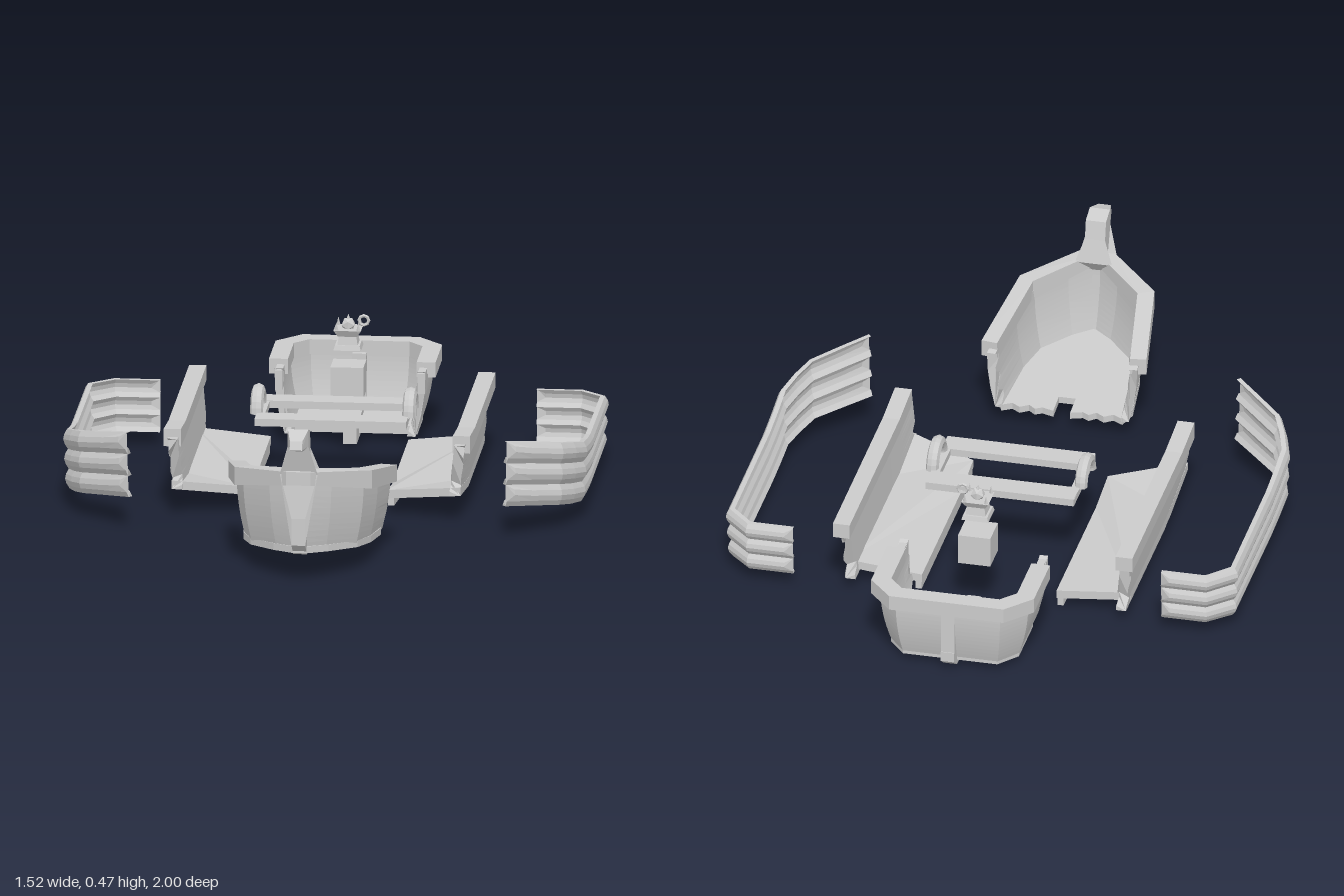
import * as THREE from 'three';

const mat = new THREE.MeshStandardMaterial({ color: 0xcccccc, flatShading: true, side: THREE.DoubleSide });

function add(parent, name, geo, x = 0, y = 0, z = 0) {
  const m = new THREE.Mesh(geo, mat);
  m.name = name;
  m.position.set(x, y, z);
  parent.add(m);
  return m;
}

const box = (w, h, d) => new THREE.BoxGeometry(w, h, d);

// Profiles are [outward offset, 0..1 height]
const rect = (a, b) => [[a, 0], [b, 0], [b, 1], [a, 1]];
function wall(outer, thick, n) {
  const out = Array.from({ length: n + 1 }, (_, k) => [outer(k / n), k / n]);
  return [...out, ...out.map(([o, v]) => [o - thick, v]).reverse()];
}

// Sweeps a profile along a path of [x, z, bottom, top], with splintered ends if jag > 0
function sweep(path, profile, jag = 0) {
  const P = path.map(p => new THREE.Vector2(p[0], p[1]));
  const last = P.length - 1;
  const dir = i => P[i + 1].clone().sub(P[i]).normalize();
  const rings = path.map(([x, z, y0, y1], i) => {
    const a = dir(Math.max(i - 1, 0)), b = dir(Math.min(i, last - 1));
    const t = a.clone().add(b).normalize();
    const miter = 1 / t.dot(b);
    return profile.map(([o, v]) => {
      const end = i === 0 ? -1 : i === last ? 1 : 0;
      const s = end * jag * (Math.round(v * 12) % 4 < 2 ? 1 : -1);
      return [x - t.y * o * miter + t.x * s, y0 + (y1 - y0) * v, z + t.x * o * miter + t.y * s];
    });
  });
  const pos = [], n = profile.length;
  const tri = (a, b, c) => pos.push(...a, ...b, ...c);
  for (let i = 0; i < last; i++) for (let j = 0; j < n; j++) {
    const k = (j + 1) % n, R = rings[i], S = rings[i + 1];
    tri(R[j], S[j], R[k]);
    tri(R[k], S[j], S[k]);
  }
  const caps = THREE.ShapeUtils.triangulateShape(profile.map(p => new THREE.Vector2(...p)), []);
  for (const [a, b, c] of caps) {
    tri(rings[0][a], rings[0][b], rings[0][c]);
    tri(rings[last][a], rings[last][c], rings[last][b]);
  }
  const g = new THREE.BufferGeometry();
  g.setAttribute('position', new THREE.Float32BufferAttribute(pos, 3));
  g.computeVertexNormals();
  return g;
}

// Horizontal slab from an [x, z] outline, its top raised by a rule
function slab(outline, thick, rule) {
  const g = new THREE.ExtrudeGeometry(new THREE.Shape(outline.map(p => new THREE.Vector2(...p))), { depth: thick, bevelEnabled: false });
  g.rotateX(Math.PI / 2);
  const p = g.attributes.position;
  for (let i = 0; i < p.count; i++) p.setY(i, p.getY(i) + rule(p.getX(i), p.getZ(i)));
  g.computeVertexNormals();
  return g;
}

// Continues a half path or outline onto the other side
const flip = pts => pts.map(([x, ...r]) => [-x, ...r]).reverse();
const both = pts => [...pts, ...flip(pts)];

function bow() {
  const g = new THREE.Group();
  g.name = 'bow';
  add(g, 'bowHull', sweep(both([[-0.222, 0.47, 0.05, 0.225], [-0.205, 0.65, 0.07, 0.255],
    [-0.175, 0.765, 0.085, 0.28], [-0.09, 0.86, 0.1, 0.3], [-0.02, 0.91, 0.1, 0.32]]),
    wall(v => -0.025 * (1 - v) ** 2, 0.025, 12), 0.015));
  add(g, 'bowRail', sweep(both([[-0.245, 0.48, 0.2, 0.25], [-0.2, 0.77, 0.255, 0.31], [-0.035, 0.925, 0.3, 0.34]]), rect(-0.048, 0)));
  // Floor with a broken edge and a slot for the keel
  const edge = [[-0.025, 0.52], [-0.025, 0.45], [-0.06, 0.46], [-0.08, 0.45], [-0.1, 0.465], [-0.125, 0.45],
    [-0.15, 0.465], [-0.18, 0.45], [-0.2, 0.5], [-0.185, 0.65], [-0.155, 0.75], [-0.08, 0.84], [-0.02, 0.89]];
  add(g, 'bowFloor', slab(both(edge), 0.02, (x, z) => 0.06 + 0.11 * (z - 0.45)));
  // Stem rising into a curved figurehead
  const stem = [[0.87, 0.08], [0.925, 0.12], [0.925, 0.2], [0.91, 0.33], [0.935, 0.42], [0.97, 0.415], [1, 0.425],
    [0.99, 0.45], [0.93, 0.47], [0.88, 0.455], [0.868, 0.4], [0.85, 0.33], [0.885, 0.29]];
  const s = new THREE.ExtrudeGeometry(new THREE.Shape(stem.map(p => new THREE.Vector2(...p))), { depth: 2, bevelEnabled: false });
  s.translate(0, 0, -1).rotateY(-Math.PI / 2);
  const p = s.attributes.position;
  for (let i = 0; i < p.count; i++) {
    const y = p.getY(i), z = p.getZ(i);
    const w = y < 0.25 ? 0.02 : y < 0.3 ? 0.03 : y < 0.35 ? 0.055 : z > 0.96 ? 0.018 : 0.03;
    p.setX(i, p.getX(i) * w);
  }
  s.computeVertexNormals();
  add(g, 'figurehead', s);
  return g;
}

function stern() {
  const g = new THREE.Group();
  g.name = 'stern';
  add(g, 'sternHull', sweep(both([[0.22, -0.665, 0.03, 0.225], [0.22, -0.72, 0.03, 0.2], [0.22, -0.9, 0.03, 0.2], [0.155, -0.98, 0.03, 0.2]]),
    wall(v => -0.03 * (1 - v) ** 2, 0.025, 12), 0.015));
  add(g, 'sternRail', sweep(both([[0.242, -0.72, 0.19, 0.235], [0.242, -0.92, 0.19, 0.235], [0.17, -1, 0.19, 0.235]]), rect(-0.055, 0)));
  add(g, 'sternFloor', slab(both([[0.19, -0.715], [0.19, -0.89], [0.14, -0.95]]), 0.025, () => 0.045));
  add(g, 'sternKeel', sweep([[0, -0.645, 0.005, 0.06], [0, -0.95, 0.005, 0.06], [0, -0.985, 0.03, 0.06]], rect(-0.02, 0.02)));
  add(g, 'sternPost', box(0.04, 0.17, 0.055), 0, 0.115, -0.955);
  for (const x of [-0.207, 0.207]) add(g, 'sternRib', box(0.022, 0.06, 0.07), x, 0.19, -0.68);
  return g;
}

// One side of the middle hull
function midSide() {
  const g = new THREE.Group();
  const lift = z => 0.04 * Math.max(0, (z + 0.05) / 0.2);
  add(g, 'sideWall', sweep([[0.432, 0.165, 0.08, 0.23], [0.432, 0, 0.05, 0.215], [0.432, -0.1, 0.035, 0.21], [0.432, -0.575, 0.035, 0.21]],
    wall(v => -0.015 * (1 - v), 0.03, 12), 0.015));
  add(g, 'sideRail', sweep([[0.445, 0.145, 0.2, 0.252], [0.445, 0, 0.19, 0.237], [0.445, -0.62, 0.19, 0.235]], rect(-0.05, 0), 0.008));
  add(g, 'sideFloor', slab([[0.2, -0.545], [0.42, -0.545], [0.42, -0.05], [0.42, 0.175], [0.2, 0.1], [0.2, -0.05]], 0.025,
    (x, z) => 0.05 + 0.1 * (x - 0.2) + lift(z) * 0.7));
  add(g, 'halfKeel', sweep([[0.22, 0.1, 0.025, 0.07], [0.22, -0.05, 0.005, 0.05], [0.22, -0.54, 0, 0.05]], rect(-0.018, 0)));
  return g;
}

// Overlapping outer planks, bulging row by row
function planking() {
  const path = [[0.56, 0.352, 0.1, 0.295], [0.62, 0.3, 0.088, 0.28], [0.695, 0.235, 0.075, 0.262], [0.725, 0.17, 0.062, 0.247],
    [0.748, 0.1, 0.052, 0.23], [0.748, 0, 0.043, 0.212], [0.748, -0.1, 0.038, 0.2], [0.748, -0.545, 0.038, 0.195],
    [0.68, -0.612, 0.04, 0.193], [0.56, -0.612, 0.04, 0.193]];
  return sweep(path, wall(v => 0.012 * Math.abs(Math.sin(3 * Math.PI * v)) + 0.008 * v - 0.005, 0.014, 12), 0.013);
}

// Cross beams with an arched oar hoop at each end
function beams() {
  const g = new THREE.Group();
  g.name = 'crossBeams';
  for (const z of [-0.295, -0.09]) add(g, 'beam', box(0.44, 0.022, 0.072), 0, 0.222, z);
  for (const x of [-0.222, 0.22]) {
    add(g, 'oarHoop', new THREE.TorusGeometry(0.055, 0.019, 8, 12, Math.PI).rotateY(Math.PI / 2), x, 0.228, -0.188);
    add(g, 'hoopPlate', box(0.025, 0.02, 0.27), x * 0.94, 0.222, -0.192);
  }
  return g;
}

// Small square brazier above its box
function brazier() {
  const g = new THREE.Group();
  g.name = 'brazier';
  const square = (a, b, h) => new THREE.CylinderGeometry(a * Math.SQRT2, b * Math.SQRT2, h, 4).rotateY(Math.PI / 4);
  add(g, 'chest', box(0.096, 0.092, 0.096), 0, 0.212, -0.602);
  add(g, 'brazierFoot', square(0.036, 0.04, 0.014), 0, 0.313, -0.602);
  add(g, 'brazierStem', square(0.025, 0.03, 0.03), 0, 0.333, -0.602);
  add(g, 'brazierTray', square(0.04, 0.028, 0.02), 0, 0.355, -0.602);
  for (let i = 0; i < 4; i++) {
    const a = Math.PI / 4 + i * Math.PI / 2;
    add(g, 'spike', new THREE.ConeGeometry(0.007, 0.03, 4), 0.045 * Math.cos(a), 0.375, -0.602 + 0.045 * Math.sin(a));
  }
  add(g, 'coals', new THREE.IcosahedronGeometry(0.022, 0), 0, 0.375, -0.602);
  add(g, 'flame', new THREE.ConeGeometry(0.012, 0.03, 5), 0, 0.392, -0.602);
  add(g, 'handle', new THREE.TorusGeometry(0.014, 0.005, 5, 8), 0.045, 0.388, -0.602);
  return g;
}

export function createModel() {
  const model = new THREE.Group();
  model.name = 'boatKit';
  model.add(bow(), stern(), beams(), brazier());
  for (const s of [1, -1]) {
    const side = midSide();
    side.name = s > 0 ? 'leftSide' : 'rightSide';
    side.scale.x = s;
    side.position.x = -0.02;
    model.add(side);
    add(model, s > 0 ? 'leftPlanking' : 'rightPlanking', planking()).scale.x = s;
  }
  return model;
}
